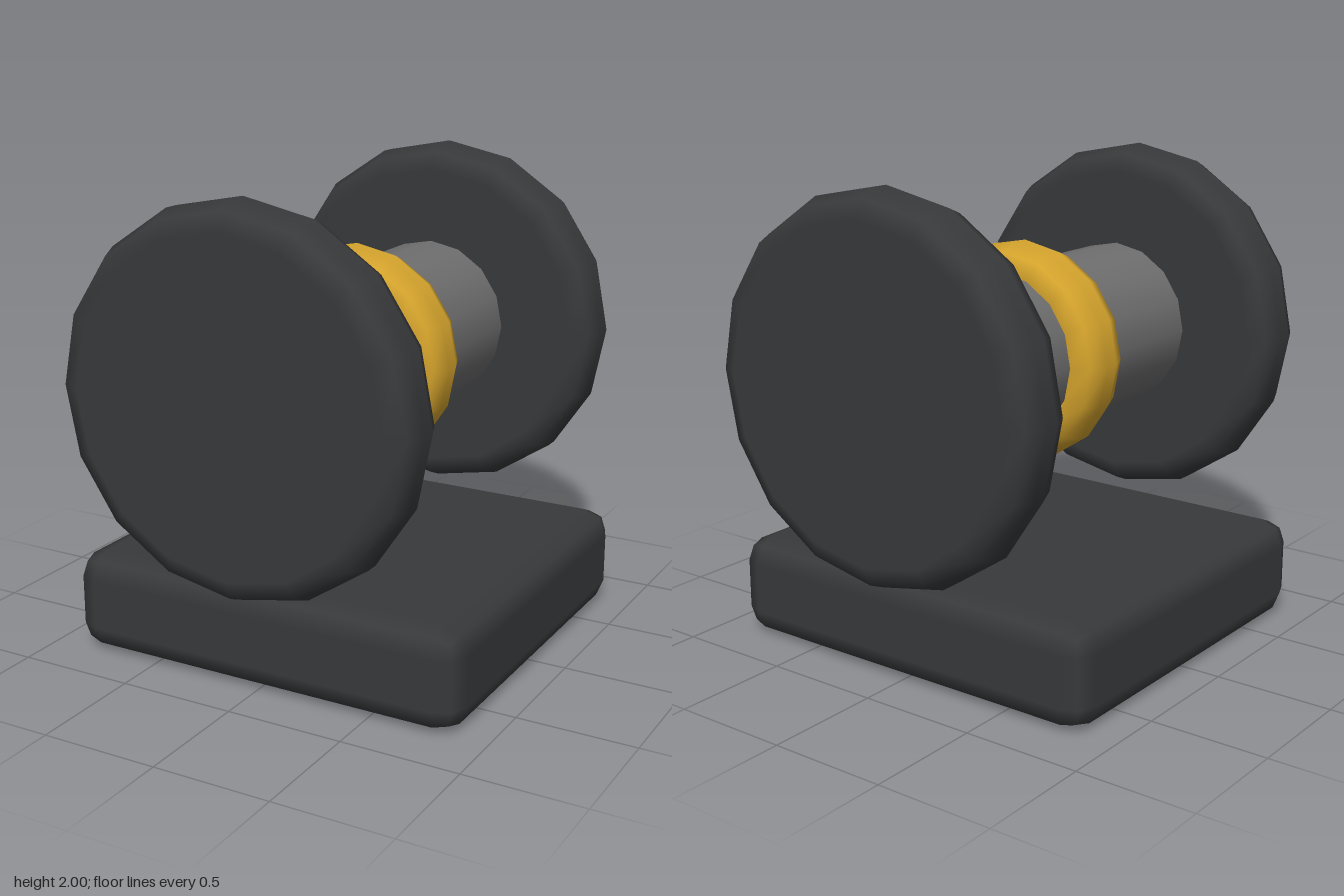
import * as THREE from 'three';
import { RoundedBoxGeometry } from 'three/addons/geometries/RoundedBoxGeometry.js';

const SIDES = 16;
const AXIS_Y = 1.215;
const BEVEL = 0.11;

// Round disc along z with two-step rounded rims; without caps it is an open band
function roundedDisc(radius, depth, capped) {
  const half = depth / 2, core = radius - BEVEL;
  const points = capped ? [new THREE.Vector2(0, -half)] : [];
  for (const side of [-1, 1]) {
    for (let i = 0; i <= 2; i++) {
      const a = (side < 0 ? i : 2 - i) * Math.PI / 4;
      points.push(new THREE.Vector2(
        core + BEVEL * Math.sin(a),
        side * (half - BEVEL + BEVEL * Math.cos(a))));
    }
  }
  if (capped) points.push(new THREE.Vector2(0, half));
  const geometry = new THREE.LatheGeometry(points, SIDES);

  // Rim normals point away from the centre of the bevel, so caps shade flat
  const pos = geometry.attributes.position, nor = geometry.attributes.normal;
  const n = new THREE.Vector3();
  for (let i = 0; i < pos.count; i++) {
    const x = pos.getX(i), y = pos.getY(i), z = pos.getZ(i);
    const r = Math.hypot(x, z);
    const out = r > core ? (r - core) / r : 0;
    n.set(x * out, Math.sign(y) * Math.max(Math.abs(y) - half + BEVEL, 0), z * out).normalize();
    nor.setXYZ(i, n.x, n.y, n.z);
  }
  return geometry.rotateX(Math.PI / 2);
}

export function createModel() {
  const group = new THREE.Group();
  const dark = new THREE.MeshStandardMaterial({ color: 0x38393b });
  const grey = new THREE.MeshStandardMaterial({ color: 0x6e6e6e });
  const gold = new THREE.MeshStandardMaterial({ color: 0xd4a32c });

  const add = (name, geometry, material, y, z = 0) => {
    const mesh = new THREE.Mesh(geometry, material);
    mesh.name = name;
    mesh.position.set(0, y, z);
    group.add(mesh);
  };

  // Base block
  add('base', new RoundedBoxGeometry(1.78, 0.43, 1.64, 1, BEVEL), dark, 0.215);

  // Shaft between the two end discs
  const shaft = new THREE.CylinderGeometry(0.355, 0.355, 1.46, SIDES).rotateX(Math.PI / 2);
  add('shaft', shaft, grey, AXIS_Y);

  // End discs
  const disc = roundedDisc(0.785, 0.284, true);
  add('frontDisc', disc, dark, AXIS_Y, 0.858);
  add('backDisc', disc, dark, AXIS_Y, -0.858);

  // Gold band around the middle
  add('middleBand', roundedDisc(0.463, 0.284, false), gold, AXIS_Y);

  return group;
}
